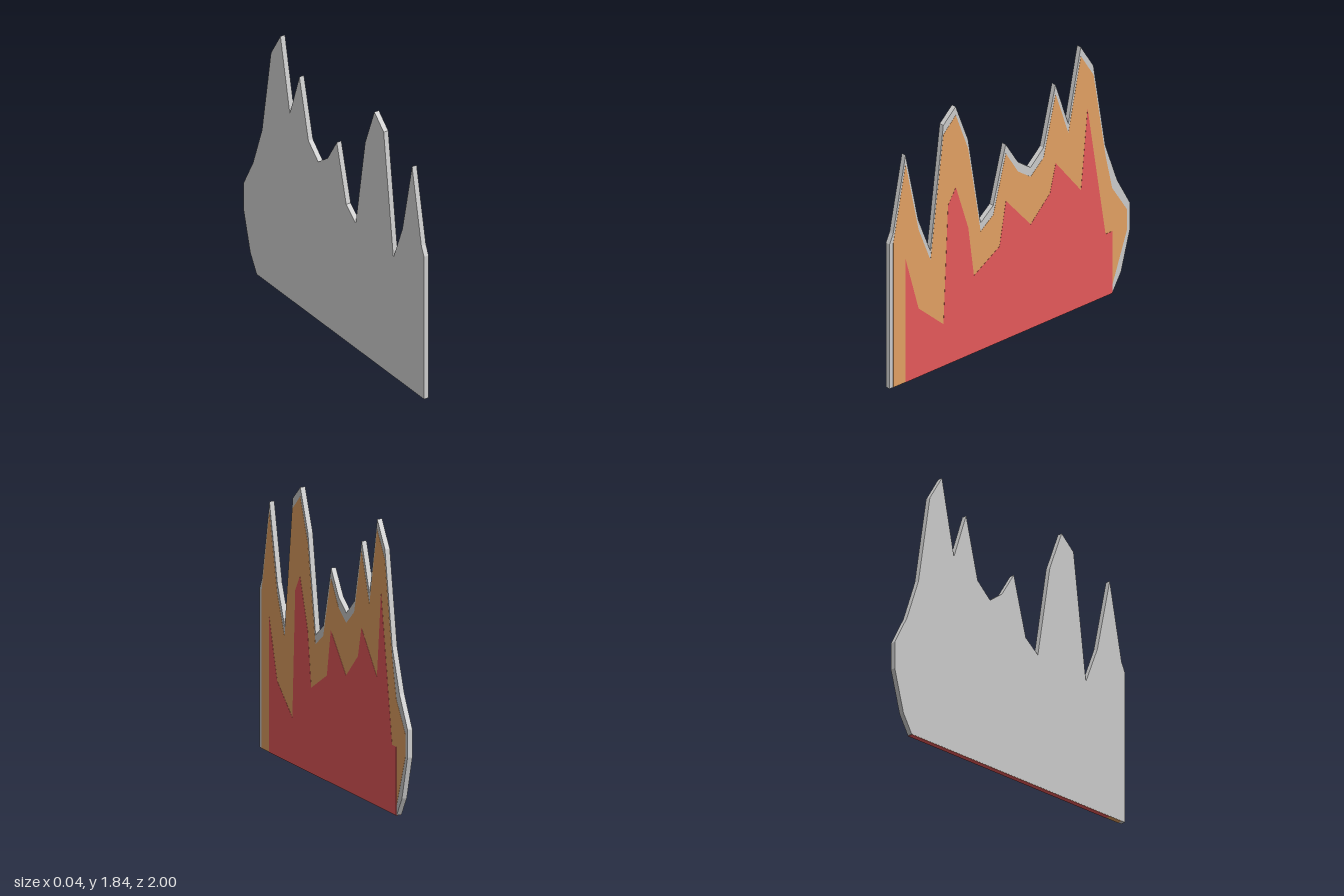
import * as THREE from 'three';

// Outlines as [u, height] pairs, with u running from the front (-1) to the back (+1).
const backingOutline = [
  [-1, 0], [-1, 1.025], [-0.97, 1.09], [-0.867, 1.61], [-0.76, 1.11], [-0.66, 0.855],
  [-0.553, 1.705], [-0.45, 1.8], [-0.347, 1.53], [-0.243, 0.9], [-0.138, 0.985],
  [-0.034, 1.38], [0.068, 1.217], [0.172, 1.14], [0.28, 1.24], [0.38, 1.65],
  [0.486, 1.335], [0.59, 1.84], [0.695, 1.67], [0.794, 1.067], [0.893, 0.785],
  [1, 0.585], [1, 0.405], [0.925, 0.125], [0.853, 0],
];
const outerOutline = [
  [-0.97, 0], [-0.97, 1.02], [-0.867, 1.545], [-0.76, 1.045], [-0.66, 0.79],
  [-0.553, 1.64], [-0.45, 1.74], [-0.347, 1.465], [-0.243, 0.84], [-0.138, 0.92],
  [-0.034, 1.315], [0.068, 1.15], [0.172, 1.075], [0.28, 1.17], [0.38, 1.585],
  [0.486, 1.27], [0.59, 1.775], [0.695, 1.605], [0.794, 1], [0.85, 0.745],
  [0.973, 0.55], [0.973, 0.405], [0.852, 0.06], [0.85, 0],
];
const innerOutline = [
  [-0.867, 0], [-0.867, 0.87], [-0.76, 0.485], [-0.553, 0.297], [-0.515, 1.125],
  [-0.45, 1.23], [-0.347, 0.905], [-0.3, 0.548], [-0.087, 0.677], [-0.034, 0.98],
  [0.172, 0.738], [0.333, 0.9], [0.38, 1.095], [0.59, 0.826], [0.645, 1.383],
  [0.794, 0.44], [0.85, 0.44], [0.85, 0],
];

// Extrudes an outline across x from x0 to x1, with its foot raised to y = base.
function flameLayer(name, outline, x0, x1, base, color) {
  const shape = new THREE.Shape(outline.map(([u, y]) => new THREE.Vector2(u, Math.max(y, base))));
  const geometry = new THREE.ExtrudeGeometry(shape, { depth: x1 - x0, bevelEnabled: false });
  geometry.rotateY(Math.PI / 2).translate(x0, 0, 0);
  const mesh = new THREE.Mesh(geometry, new THREE.MeshStandardMaterial({ color, flatShading: true }));
  mesh.name = name;
  return mesh;
}

export function createModel() {
  const group = new THREE.Group();
  group.name = 'flamePanel';
  // Grey board, with the two colours inlaid so they show on its left face and underside
  group.add(flameLayer('backing', backingOutline, -0.018, 0.016, 0.002, 0xcccccc));
  group.add(flameLayer('outerFlame', outerOutline, -0.017, 0.017, 0.001, 0xe3a163));
  group.add(flameLayer('innerFlame', innerOutline, -0.016, 0.018, 0, 0xe6595b));
  return group;
}
